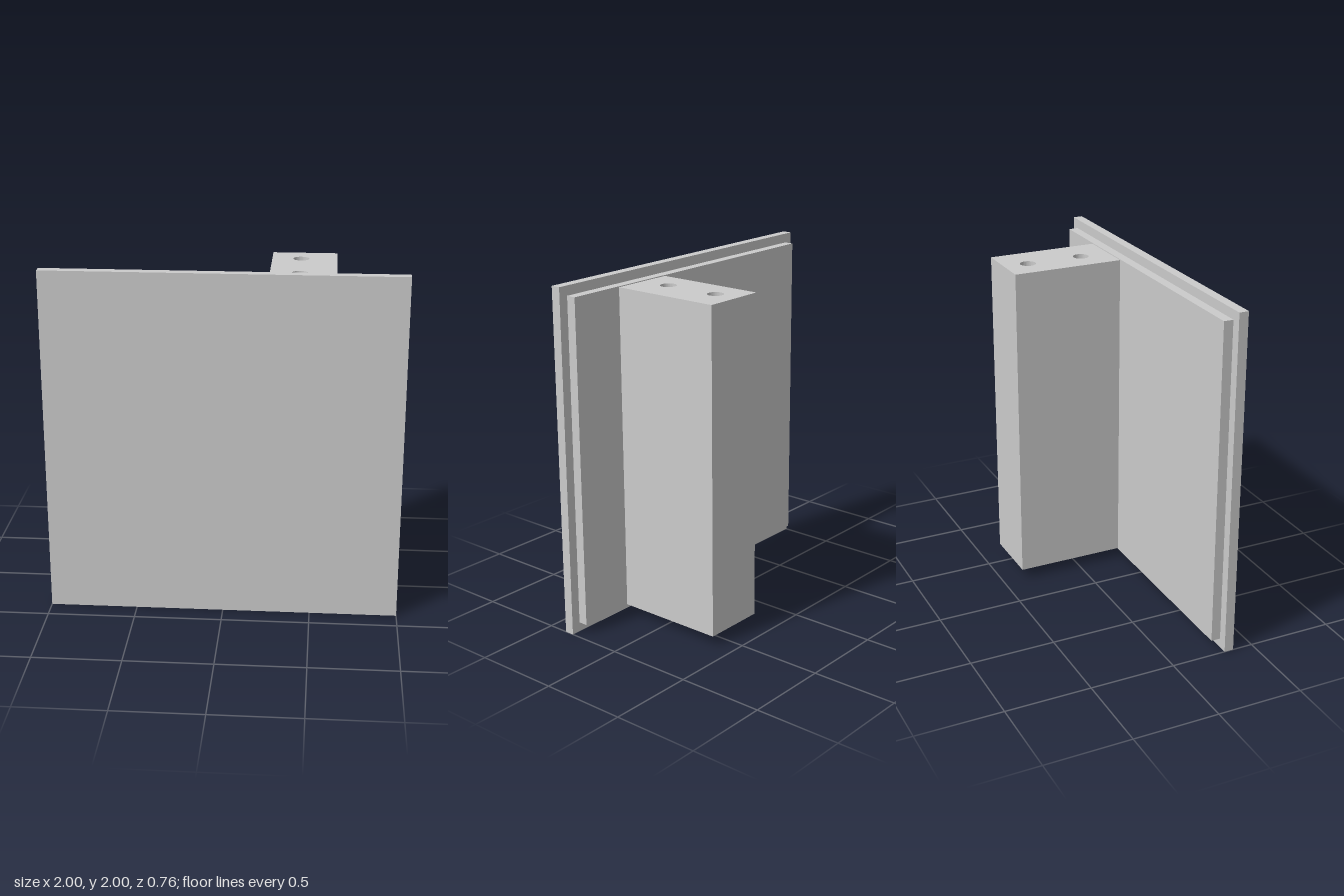
import * as THREE from 'three';
import { toCreasedNormals } from 'three/addons/utils/BufferGeometryUtils.js';

const material = new THREE.MeshStandardMaterial({ color: 0xcccccc });

function addMesh(group, name, geometry) {
  const mesh = new THREE.Mesh(geometry, material);
  mesh.name = name;
  group.add(mesh);
  return mesh;
}

export function createModel() {
  const group = new THREE.Group();
  group.name = 'panelWithPost';

  // Large front panel with a slightly smaller plate behind it
  addMesh(group, 'frontPanel', new THREE.BoxGeometry(2, 2, 0.055)).position.set(0, 1, 0.3525);
  addMesh(group, 'backingPlate', new THREE.BoxGeometry(1.89, 1.89, 0.055)).position.set(0, 1, 0.2975);

  // Off-centre post, drawn as its plan (shape y = -z) with two bores along its height
  const [left, right, front, back] = [0.24, 0.61, 0.27, -0.38];
  const plan = new THREE.Shape([
    new THREE.Vector2(left, -front),
    new THREE.Vector2(right, -front),
    new THREE.Vector2(right, -back),
    new THREE.Vector2(left, -back),
  ]);
  for (const z of [-0.235, 0.097]) {
    plan.holes.push(new THREE.Path().absarc(0.405, -z, 0.046, 0, Math.PI * 2, true));
  }
  const post = new THREE.ExtrudeGeometry(plan, { depth: 1.88, bevelEnabled: false, curveSegments: 32 });
  post.rotateX(-Math.PI / 2);
  addMesh(group, 'boredPost', toCreasedNormals(post, Math.PI / 6)).position.y = 0.06;

  return group;
}
